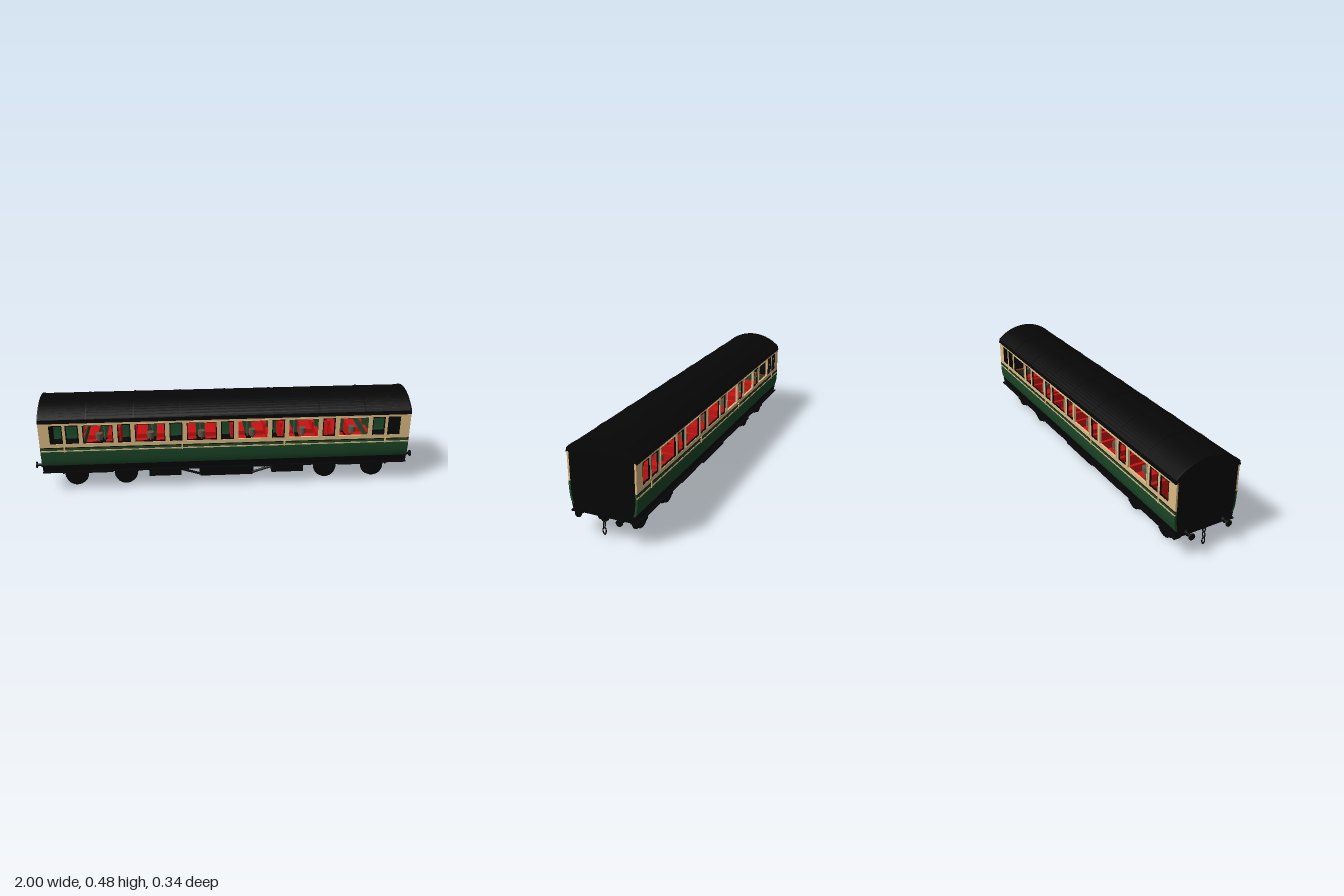
import * as THREE from 'three';
import { toCreasedNormals } from 'three/addons/utils/BufferGeometryUtils.js';

const mat = (name, color) => Object.assign(new THREE.MeshStandardMaterial({ color }), { name });

export function createModel() {
  const black = mat('black', 0x060606);
  const green = mat('green', 0x1b4728);
  const cream = mat('cream', 0xddba83);
  const red = mat('seatRed', 0xc81212);
  const shade = mat('lampShade', 0x5e5444);

  const model = new THREE.Group();
  model.name = 'railwayCoach';
  const L = 0.957; // half length of the body

  const group = (name, parent = model) => {
    const g = new THREE.Group();
    g.name = name;
    parent.add(g);
    return g;
  };
  const add = (name, geo, material, parent = model) => {
    const m = new THREE.Mesh(geo, material);
    m.name = name;
    parent.add(m);
    return m;
  };
  // box from its extents
  const box = (name, material, x0, x1, y0, y1, z0, z1, parent) => {
    const m = add(name, new THREE.BoxGeometry(Math.abs(x1 - x0), y1 - y0, Math.abs(z1 - z0)), material, parent);
    m.position.set((x0 + x1) / 2, (y0 + y1) / 2, (z0 + z1) / 2);
    return m;
  };
  // round bar along an axis
  const rod = (name, material, r, len, axis, x, y, z, parent) => {
    const geo = new THREE.CylinderGeometry(r, r, len, 24);
    if (axis === 'x') geo.rotateZ(-Math.PI / 2);
    if (axis === 'z') geo.rotateX(Math.PI / 2);
    const m = add(name, geo, material, parent);
    m.position.set(x, y, z);
    return m;
  };
  // cross-section of [z, y] points swept along x
  const sweep = (name, material, pts, x0, x1, parent) => {
    const shape = new THREE.Shape(pts.map(([z, y]) => new THREE.Vector2(-z, y)));
    const geo = new THREE.ExtrudeGeometry(shape, { depth: x1 - x0, bevelEnabled: false });
    geo.rotateY(Math.PI / 2).translate(x0, 0, 0);
    return add(name, toCreasedNormals(geo, 0.6), material, parent);
  };
  const rect = (Type, cx, y0, y1, w) => new Type([
    [cx - w / 2, y0], [cx + w / 2, y0], [cx + w / 2, y1], [cx - w / 2, y1],
  ].map(([x, y]) => new THREE.Vector2(x, y)));
  // flat sheet facing z with rectangular openings
  const sheet = (name, material, outer, holes, z, depth, parent) => {
    outer.holes = holes;
    const m = add(name, new THREE.ExtrudeGeometry(outer, { depth, bevelEnabled: false }), material, parent);
    m.position.z = z;
    return m;
  };

  // window layout
  const large = [-0.66, -0.396, -0.132, 0.132, 0.396, 0.66].map((x) => ({ x, w: 0.155 }));
  const small = [-0.871, -0.79, -0.528, -0.264, 0, 0.264, 0.528, 0.79, 0.871].map((x) => ({ x, w: 0.066 }));
  const WY0 = 0.278, WY1 = 0.379;

  // side walls
  for (const s of [1, -1]) {
    const side = group(s > 0 ? 'frontSide' : 'backSide');
    const at = (z, d) => (s > 0 ? z : -z - d);
    sheet('upperPanel', cream, rect(THREE.Shape, 0, 0.258, 0.396, 2 * L),
      [...large, ...small].map((o) => rect(THREE.Path, o.x, WY0, WY1, o.w)), at(0.157, 0.009), 0.009, side);
    for (const o of large) {
      sheet('windowFrame', cream, rect(THREE.Shape, o.x, WY0 - 0.003, WY1 + 0.003, o.w + 0.008),
        [rect(THREE.Path, o.x, WY0 + 0.001, WY1 - 0.001, o.w - 0.002)], at(0.166, 0.003), 0.003, side);
    }
    // dark inner frames
    for (const o of [...small, ...large.filter((w) => w.x * s < 0)]) {
      sheet('innerFrame', black, rect(THREE.Shape, o.x, WY0, WY1, o.w),
        [rect(THREE.Path, o.x, WY0 + 0.005, WY1 - 0.005, o.w - 0.01)], at(0.159, 0.006), 0.006, side);
    }
    // lower panel with the inward curve at its foot
    sweep('lowerPanel', green, [
      [0.166, 0.258], [0.167, 0.235], [0.166, 0.21], [0.164, 0.185], [0.16, 0.165], [0.154, 0.15],
      [0.145, 0.15], [0.15, 0.165], [0.154, 0.185], [0.156, 0.21], [0.157, 0.258],
    ].map(([z, y]) => [s * z, y]), -L, L, side);
    box('waistLine', cream, -L, L, 0.2355, 0.242, s * 0.162, s * 0.1685, side);
    box('waistShadowLine', black, -L, L, 0.2545, 0.2575, s * 0.162, s * 0.1675, side);
    for (const x of [-0.834, -0.234, 0.297, 0.83]) {
      box('doorHandle', cream, x - 0.004, x + 0.004, 0.233, 0.263, s * 0.164, s * 0.17, side);
    }
    box('gutter', black, -L, L, 0.392, 0.399, s * 0.155, s * 0.171, side);
  }

  // arched roof
  const arc = (half, edgeY, topY, n = 24) => {
    const R = (half * half + (topY - edgeY) ** 2) / (2 * (topY - edgeY));
    return Array.from({ length: n + 1 }, (_, i) => {
      const z = half * (1 - (2 * i) / n);
      return [z, topY - R + Math.sqrt(R * R - z * z)];
    });
  };
  const roofSection = (half, edgeY, topY, t) => [
    [half, 0.397], ...arc(half, edgeY, topY), [-half, 0.397],
    [-half + t, 0.397], ...arc(half - t, edgeY - t * 0.5, topY - t).reverse(), [half - t, 0.397],
  ];
  sweep('roof', black, roofSection(0.167, 0.411, 0.478, 0.01), -L, L);
  for (let i = 0; i < 9; i++) {
    const x = -0.953 + i * 0.23825;
    sweep('roofRib', black, roofSection(0.168, 0.412, 0.481, 0.01), x - 0.003, x + 0.003);
  }

  // end walls
  const endSection = [[0.157, 0.4], ...arc(0.157, 0.409, 0.474), [-0.157, 0.4], [-0.157, 0.2], [-0.147, 0.148], [0.147, 0.148], [0.157, 0.2]];
  sweep('endWall', black, endSection, L - 0.012, L);
  sweep('endWall', black, endSection, -L, -L + 0.012);

  // floor and underframe
  box('floor', black, -L + 0.01, L - 0.01, 0.148, 0.165, -0.147, 0.147);
  sweep('underframe', black, [[0.157, 0.152], [0.15, 0.117], [-0.15, 0.117], [-0.157, 0.152]], -L, L);
  for (const s of [1, -1]) box('footboard', black, -L, L, 0.112, 0.118, s * 0.13, s * 0.163);

  // interior seating bays with a lamp beside each large window
  const interior = group('interior');
  for (const { x } of large) {
    for (const s of [1, -1]) {
      for (const d of [1, -1]) {
        box('seatBack', red, x + d * 0.08, x + d * 0.096, 0.165, 0.276, s * 0.025, s * 0.153, interior);
        box('seatCushion', red, x + d * 0.025, x + d * 0.08, 0.165, 0.235, s * 0.025, s * 0.153, interior);
      }
      rod('lampStem', shade, 0.004, 0.12, 'y', x, 0.225, s * 0.12, interior);
      rod('lampShade', shade, 0.018, 0.03, 'y', x, 0.297, s * 0.12, interior);
      rod('lampUnderside', cream, 0.017, 0.002, 'y', x, 0.2815, s * 0.12, interior);
    }
  }
  // panelling on the inner face of the end bays
  for (const d of [1, -1]) box('endBayPanel', green, d * 0.736, d * 0.742, 0.236, 0.276, -0.153, 0.153, interior);

  // bogies
  for (const cx of [-0.667, 0.667]) {
    const bogie = group('bogie');
    bogie.position.x = cx;
    box('bolster', black, -0.045, 0.045, 0.083, 0.105, -0.1, 0.1, bogie);
    rod('pivot', black, 0.018, 0.02, 'y', 0, 0.11, 0, bogie);
    for (const s of [1, -1]) {
      box('sideFrame', black, -0.2, 0.2, 0.09, 0.11, s * 0.104, s * 0.114, bogie);
      box('springPlank', black, -0.065, 0.065, 0.083, 0.1, s * 0.1, s * 0.117, bogie);
      for (const d of [1, -1]) {
        box('axleBox', black, d * 0.13 - 0.02, d * 0.13 + 0.02, 0.045, 0.115, s * 0.1, s * 0.117, bogie);
        box('brakeHanger', black, d * 0.19, d * 0.198, 0.08, 0.112, s * 0.106, s * 0.114, bogie);
        box('guardIron', black, d * 0.127, d * 0.133, 0.032, 0.05, s * 0.108, s * 0.112, bogie);
        rod('wheel', black, 0.055, 0.02, 'z', d * 0.13, 0.062, s * 0.09, bogie);
        rod('wheelFlange', black, 0.062, 0.004, 'z', d * 0.13, 0.062, s * 0.08, bogie);
      }
    }
    for (const d of [1, -1]) {
      rod('axle', black, 0.011, 0.2, 'z', d * 0.13, 0.062, 0, bogie);
      box('crossBeam', black, d * 0.185, d * 0.2, 0.09, 0.105, -0.105, 0.105, bogie);
    }
  }

  // equipment boxes and truss rods
  for (const s of [1, -1]) {
    for (const d of [1, -1]) {
      box('batteryBox', black, d * 0.242, d * 0.413, 0.052, 0.118, s * 0.055, s * 0.116);
      const path = new THREE.LineCurve3(new THREE.Vector3(d * 0.25, 0.088, s * 0.109), new THREE.Vector3(d * 0.135, 0.052, s * 0.109));
      add('trussBar', new THREE.TubeGeometry(path, 1, 0.007, 8), black);
    }
    box('trussBottom', black, -0.14, 0.14, 0.044, 0.058, s * 0.103, s * 0.116);
    box('equipmentBox', black, -0.145, 0.145, 0.055, 0.118, s * 0.055, s * 0.112);
  }

  // buffers, hooks and chains at both ends
  for (const d of [1, -1]) {
    const end = group('endGear');
    for (const s of [1, -1]) {
      rod('bufferHousing', black, 0.012, 0.02, 'x', d * 0.963, 0.132, s * 0.1, end);
      rod('bufferShank', black, 0.007, 0.035, 'x', d * 0.977, 0.132, s * 0.1, end);
      rod('bufferHead', black, 0.016, 0.006, 'x', d * 0.997, 0.132, s * 0.1, end);
    }
    box('drawHook', black, d * 0.945, d * 0.959, 0.115, 0.13, -0.006, 0.006, end);
    const link = (name, y, ry, h) => {
      const m = add(name, new THREE.TorusGeometry(0.008, 0.0025, 8, 20), black, end);
      m.position.set(d * 0.955, y, 0);
      m.rotation.y = ry;
      m.scale.y = h;
    };
    link('upperLink', 0.112, Math.PI / 2, 2);
    link('middleLink', 0.081, 0, 1.9);
    link('lowerLink', 0.05, Math.PI / 2, 2);
  }
  return model;
}
